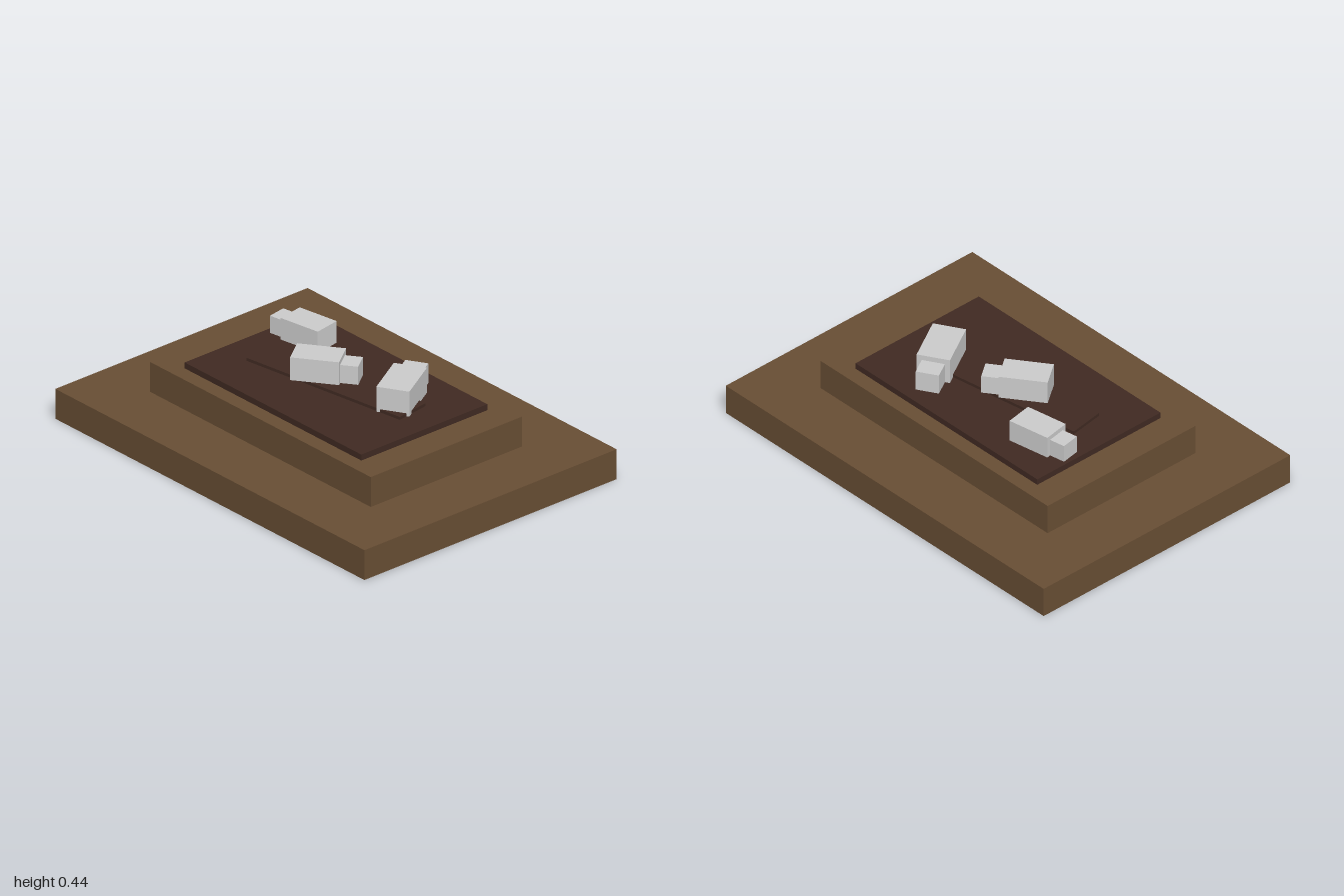
import * as THREE from 'three';

export function createModel() {
  const model = new THREE.Group();
  const material = (name, color) => {
    const m = new THREE.MeshStandardMaterial({ color });
    m.name = name;
    return m;
  };
  const wood = material('brown wood', 0x684e34);
  const darkWood = material('dark wood', 0x402a22);
  const paleGrey = material('pale grey', 0xcccccc);

  // Box given by its length, height and depth, standing on height y
  const block = (parent, name, mat, [w, h, d], x, y, z) => {
    const mesh = new THREE.Mesh(new THREE.BoxGeometry(w, h, d), mat);
    mesh.name = name;
    mesh.position.set(x, y + h / 2, z);
    parent.add(mesh);
    return mesh;
  };

  // Stepped base
  block(model, 'lowerTier', wood, [2, 0.143, 1.429], 0, 0, 0);
  block(model, 'upperTier', wood, [1.429, 0.143, 0.857], 0, 0.143, 0);
  block(model, 'slab', darkWood, [1.143, 0.0285, 0.714], 0, 0.286, 0);

  // Thin turned strip across the slab
  block(model, 'strip', darkWood, [0.857, 0.0143, 0.171], 0, 0.3143, 0).rotation.y = 0.15;

  // Blocky figures: x, y, z, turn, scale
  const figures = [
    [-0.084, 0.3286, 0.028, 0.63, 1],
    [-0.373, 0.3143, -0.172, 3.31, 0.95],
    [0.317, 0.3143, -0.094, 2.1, 1.1],
  ];
  for (const [x, y, z, turn, scale] of figures) {
    const figure = new THREE.Group();
    figure.name = 'figure';
    block(figure, 'body', paleGrey, [0.214, 0.109, 0.135], 0, 0, 0);
    block(figure, 'head', paleGrey, [0.086, 0.0865, 0.094], 0.143, 0, 0);
    figure.position.set(x, y, z);
    figure.rotation.y = turn;
    figure.scale.setScalar(scale);
    model.add(figure);
  }
  return model;
}
